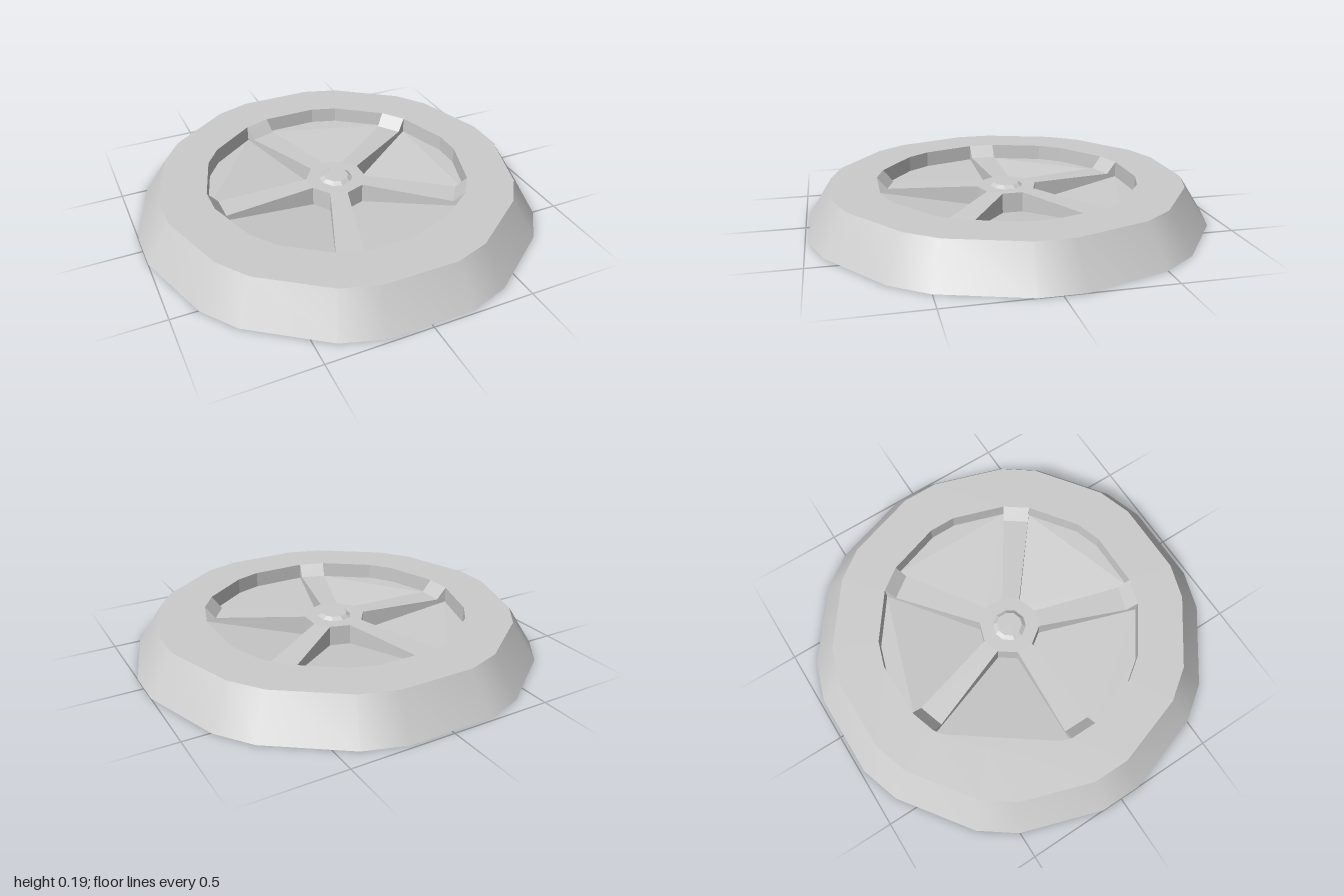
import * as THREE from 'three';

const material = new THREE.MeshStandardMaterial({ color: 0xcccccc, side: THREE.DoubleSide });
const flat = material.clone();
flat.flatShading = true;

// Heights and radii
const TOP = 0.19, FLOOR_OUT = 0.11, FLOOR_IN = 0.05, HUB = 0.15, SPOKE_END = 0.131;
const R_HOLE = 0.655, R_FOOT = 0.603, R_HUB = 0.15;
const RIM = 5.9, SPOKE = 16.5; // half angles of the rim's short edges and of a spoke at the hub

// Point at a radius, an angle (counter-clockwise from above) and a height
const P = (r, deg, y) => {
  const a = THREE.MathUtils.degToRad(deg);
  return [r * Math.cos(a), y, -r * Math.sin(a)];
};

// Twenty angles of the ten-sided rim with cut corners
const rimAngles = [];
for (let k = 0; k < 10; k++) rimAngles.push(k * 36 - RIM, k * 36 + RIM);

// Ten angles of the hub, set by the sides of the five spokes
const hubAngles = [];
for (let k = 0; k < 5; k++) hubAngles.push(36 + k * 72 - SPOKE, 36 + k * 72 + SPOKE);

// Closed band lofted through rings of [radius, height], outermost first
function band(name, angles, rings, mat) {
  const n = angles.length, pos = [], index = [];
  for (const [r, y] of rings) for (const a of angles) pos.push(...P(r, a, y));
  for (let j = 0; j < rings.length - 1; j++) {
    for (let i = 0; i < n; i++) {
      const a = j * n + i, b = j * n + (i + 1) % n;
      index.push(a, b, a + n, b, b + n, a + n);
    }
  }
  const g = new THREE.BufferGeometry();
  g.setAttribute('position', new THREE.Float32BufferAttribute(pos, 3));
  g.setIndex(index);
  g.computeVertexNormals();
  const mesh = new THREE.Mesh(g, mat);
  mesh.name = name;
  return mesh;
}

// Flat-sided mesh from polygons, each split as a fan from its first corner
function panels(name, polygons) {
  const pos = [];
  for (const p of polygons) {
    for (let i = 1; i < p.length - 1; i++) pos.push(...p[0], ...p[i], ...p[i + 1]);
  }
  const g = new THREE.BufferGeometry();
  g.setAttribute('position', new THREE.Float32BufferAttribute(pos, 3));
  g.computeVertexNormals();
  const mesh = new THREE.Mesh(g, flat);
  mesh.name = name;
  return mesh;
}

// Spoke top, sloping up to the rim at its outer end
function spoke(c) {
  const [r0, r1] = [P(R_HOLE, c - RIM, TOP), P(R_HOLE, c + RIM, TOP)];
  const [f0, f1] = [P(R_FOOT, c - 6.2, SPOKE_END), P(R_FOOT, c + 6.2, SPOKE_END)];
  const [h0, h1] = [P(R_HUB, c - SPOKE, HUB), P(R_HUB, c + SPOKE, HUB)];
  return panels('spoke', [[r0, r1, f1, f0], [f0, f1, h1, h0]]);
}

// Recessed pocket between two spokes
function pocket(c) {
  const group = new THREE.Group();
  group.name = 'pocket';
  const outer = [-36 + RIM, -RIM, RIM, 36 - RIM].map(d => c + d);
  const low = outer.map(a => P(R_HOLE, a, FLOOR_OUT));
  const high = outer.map(a => P(R_HOLE, a, TOP));
  const half = 36 - SPOKE;
  const [a0, a1] = [P(R_HUB, c - half, FLOOR_IN), P(R_HUB, c + half, FLOOR_IN)];
  const [b0, b1] = [P(R_HUB, c - half, HUB), P(R_HUB, c + half, HUB)];
  const f0 = P(R_FOOT, c - 36 + 6.2, SPOKE_END), f1 = P(R_FOOT, c + 36 - 6.2, SPOKE_END);

  group.add(panels('pocketFloor', [low, [low[0], low[3], a1, a0]]));
  group.add(panels('pocketOuterWall', [0, 1, 2].map(i => [high[i], high[i + 1], low[i + 1], low[i]])));
  group.add(panels('pocketHubWall', [[a0, a1, b1, b0]]));
  group.add(panels('spokeSides', [
    [low[0], a0, b0, f0, high[0]],
    [low[3], high[3], f1, b1, a1],
  ]));
  return group;
}

export function createModel() {
  const model = new THREE.Group();
  model.name = 'wheelCover';

  // Rim: sloped outer skirt and flat front ring
  model.add(band('rimSkirt', rimAngles, [[1.005, 0], [0.884, TOP]], material));
  model.add(band('rimFace', rimAngles, [[0.884, TOP], [R_HOLE, TOP]], flat));

  // Five spokes with the pockets between them
  for (let k = 0; k < 5; k++) {
    model.add(spoke(36 + k * 72));
    model.add(pocket(k * 72));
  }

  // Hub with a low raised cap
  model.add(band('hub', hubAngles, [[R_HUB, HUB], [0.083, HUB]], flat));
  model.add(band('hubCap', hubAngles, [[0.083, HUB], [0.063, HUB + 0.015], [0, HUB + 0.015]], flat));
  return model;
}
